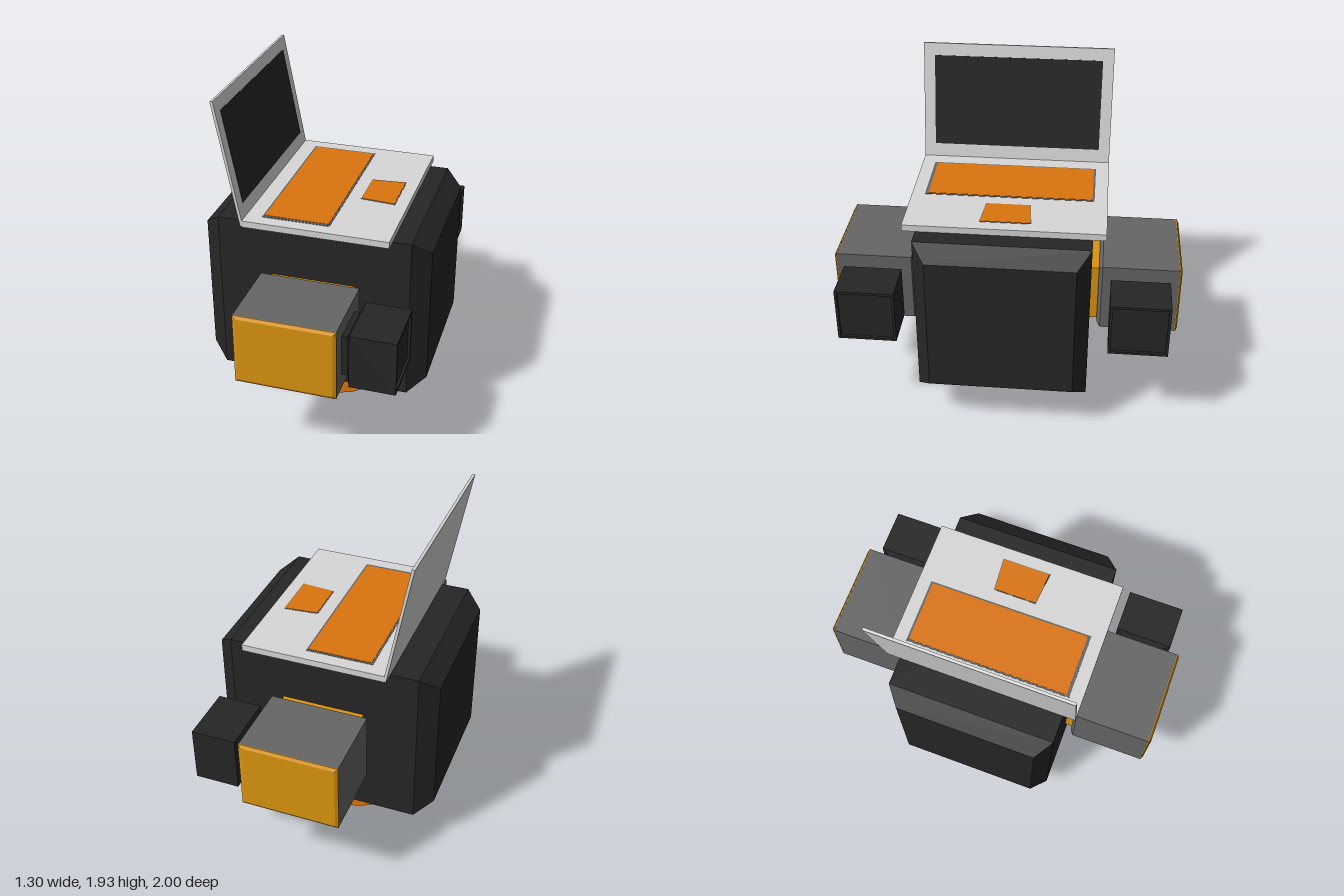
import * as THREE from 'three';

const mat = (name, color) => Object.assign(new THREE.MeshStandardMaterial({ color }), { name });

// Lofts rectangular sections [x, halfY, halfZ] along x, with flat faces and closed ends.
function loft(sections) {
  const rings = sections.map(([x, h, d]) => [[x, -h, d], [x, -h, -d], [x, h, -d], [x, h, d]]);
  const pos = [];
  const quad = (a, b, c, d) => pos.push(...a, ...b, ...c, ...a, ...c, ...d);
  for (let i = 0; i < rings.length - 1; i++) {
    const a = rings[i], b = rings[i + 1];
    for (let j = 0; j < 4; j++) {
      const k = (j + 1) % 4;
      quad(a[j], a[k], b[k], b[j]);
    }
  }
  const first = rings[0], last = rings[rings.length - 1];
  quad(first[3], first[2], first[1], first[0]);
  quad(...last);
  const g = new THREE.BufferGeometry();
  g.setAttribute('position', new THREE.Float32BufferAttribute(pos, 3));
  g.computeVertexNormals();
  return g;
}

export function createModel() {
  const black = mat('black', 0x262626);
  const grey = mat('darkGrey', 0x666666);
  const silver = mat('silver', 0xd8d8d8);
  const orange = mat('orange', 0xdb740e);
  const amber = mat('amber', 0xdb940f);

  const model = new THREE.Group();
  model.name = 'laptopRobot';
  const add = (name, geometry, material, x = 0, y = 0, z = 0, parent = model) => {
    const m = new THREE.Mesh(geometry, material);
    m.name = name;
    m.position.set(x, y, z);
    parent.add(m);
    return m;
  };
  const box = (x, y, z) => new THREE.BoxGeometry(x, y, z);

  // Body with bevelled ends
  add('body', loft([[-0.65, 0.41, 0.41], [-0.55, 0.488, 0.487], [0.55, 0.488, 0.487], [0.65, 0.41, 0.41]]),
    black, 0, 0.722, 0);

  // Wheel, faceted, mostly sunk in the body
  const wheelGeo = new THREE.CylinderGeometry(0.483, 0.483, 0.65, 32).rotateX(Math.PI / 2).toNonIndexed();
  wheelGeo.computeVertexNormals();
  add('wheel', wheelGeo, orange, 0, 0.483, 0);

  // Laptop base with keyboard and touchpad
  add('laptopBase', box(0.825, 0.038, 1.12), silver, 0.0325, 1.229, 0);
  add('keyboardBorder', box(0.385, 0.004, 0.97), grey, -0.0975, 1.248, 0);
  add('keyboard', box(0.365, 0.006, 0.94), orange, -0.0975, 1.249, -0.003);
  const touchpad = (grow) => {
    const s = new THREE.Shape([
      new THREE.Vector2(0.175 - grow, -0.123 - grow), new THREE.Vector2(0.368 + grow, -0.14 - grow),
      new THREE.Vector2(0.368 + grow, 0.14 + grow), new THREE.Vector2(0.175 - grow, 0.123 + grow)]);
    return new THREE.ExtrudeGeometry(s, { depth: 0.004, bevelEnabled: false }).rotateX(-Math.PI / 2);
  };
  add('touchpadBorder', touchpad(0.004), grey, 0, 1.246, -0.003);
  add('touchpad', touchpad(0), orange, 0, 1.248, -0.003);

  // Tilted lid with screen
  const lid = new THREE.Group();
  lid.name = 'laptopLid';
  lid.position.set(-0.382, 1.213, 0);
  lid.rotation.z = 0.186;
  model.add(lid);
  add('lidPanel', box(0.016, 0.724, 1.12), silver, 0, 0.362, 0, lid);
  add('screen', box(0.004, 0.539, 0.99), black, 0.0085, 0.382, 0, lid);

  // Arms on front and back, each with a hand pointing to +x
  const armGeo = loft([[0.53, 0.185, 0.26], [0.55, 0.21, 0.283], [0.99, 0.21, 0.283]]);
  const neckGeo = loft([[0.47, 0.175, 0.24], [0.54, 0.175, 0.24]]);
  const capGeo = loft([[0.985, 0.211, 0.284], [0.99, 0.211, 0.284], [1, 0.194, 0.267]]);
  // The hand flares from its wrist and ends in a shallow recess
  const handGeo = loft([[0.27, 0.122, 0.122], [0.315, 0.122, 0.122], [0.335, 0.161, 0.168],
    [0.59, 0.161, 0.168], [0.59, 0.146, 0.153], [0.575, 0.146, 0.153]]);
  for (const [side, s] of [['front', 1], ['back', -1]]) {
    const arm = new THREE.Group();
    arm.name = side + 'Arm';
    arm.position.y = 0.72;
    arm.rotation.y = -s * Math.PI / 2;
    model.add(arm);
    add(side + 'ArmBlock', armGeo, grey, 0, 0, 0, arm);
    add(side + 'Shoulder', neckGeo, amber, 0, 0, 0, arm);
    add(side + 'ArmCap', capGeo, amber, 0, 0, 0, arm);
    add(side + 'Hand', handGeo, black, 0, 0.72, s * 0.766);
  }
  return model;
}
